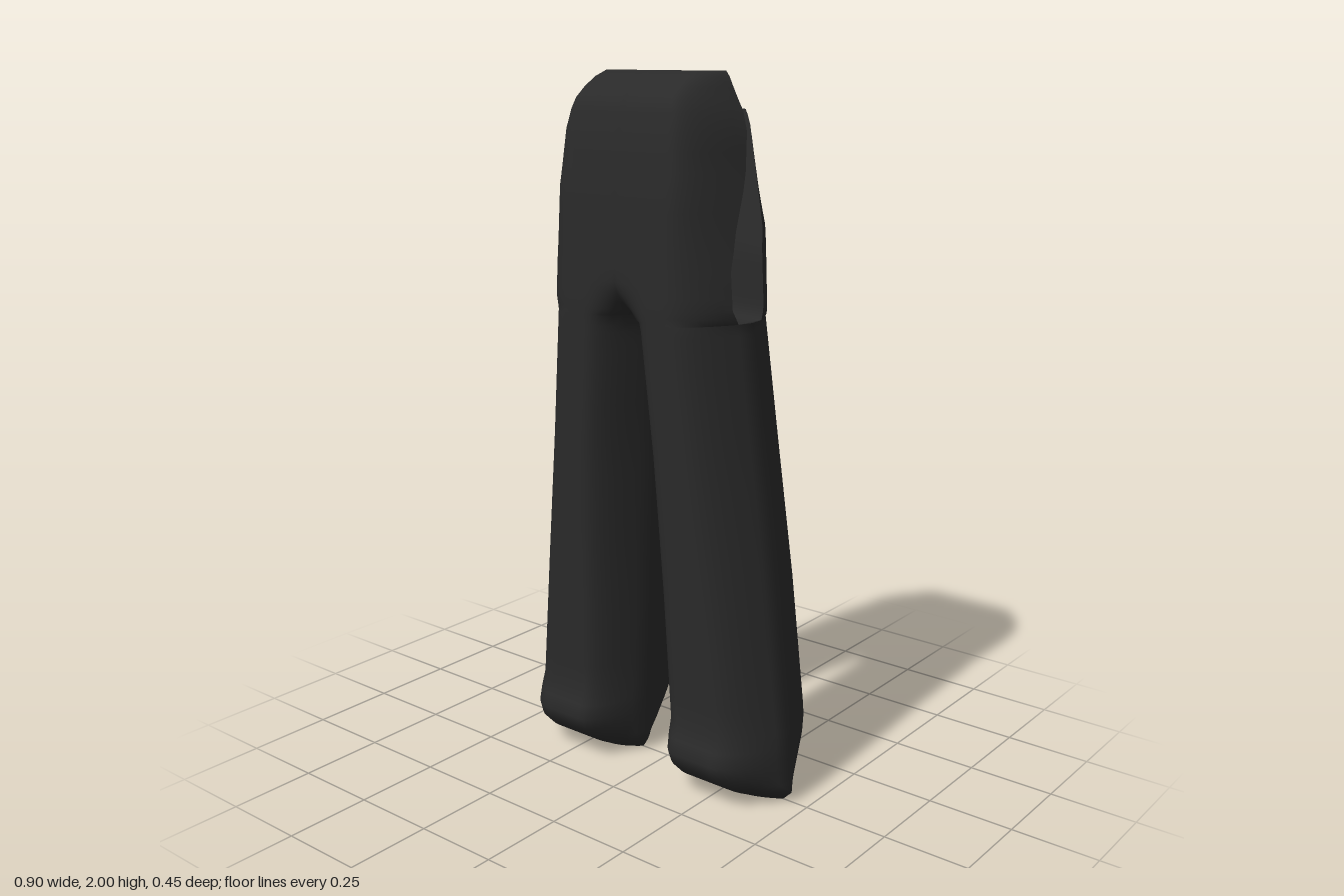
import * as THREE from 'three';
import { mergeGeometries, mergeVertices } from 'three/addons/utils/BufferGeometryUtils.js';

// Piecewise linear lookup in a list of [key, value] pairs
function table(pairs) {
  return (y) => {
    if (y <= pairs[0][0]) return pairs[0][1];
    for (let i = 1; i < pairs.length; i++) {
      const [a, p] = pairs[i - 1], [b, q] = pairs[i];
      if (y <= b) return p + (q - p) * (y - a) / (b - a);
    }
    return pairs[pairs.length - 1][1];
  };
}

// Grid surface through rows of points
function sheet(rows, flip) {
  const n = rows[0].length, index = [];
  for (let r = 0; r < rows.length - 1; r++) {
    for (let c = 0; c < n - 1; c++) {
      const a = r * n + c, b = a + 1, d = a + n, e = d + 1;
      index.push(...(flip ? [a, d, b, b, d, e] : [a, b, d, b, e, d]));
    }
  }
  const g = new THREE.BufferGeometry();
  g.setAttribute('position', new THREE.Float32BufferAttribute(rows.flat(2), 3));
  g.setIndex(index);
  return g;
}

const SLOT = 1.36; // height of the slot floor

// Shared outlines by height
const inner = table([[0, 0.095], [0.03, 0.075], [0.6, 0.05], [1, 0.028], [1.31, 0]]);
const outer = [[0, 0.42], [0.03, 0.45], [0.2, 0.443], [0.6, 0.4], [1, 0.352], [SLOT, 0.315]];
const middle = [[0, 0], [0.15, 0.015], [1, 0.025], [SLOT, 0.035]];

const sides = {
  front: {
    sign: 1, top: 2,
    face: table([[0, 0.05], [0.03, 0.1], [0.06, 0.145], [0.1, 0.185], [0.14, 0.2], [0.18, 0.19],
      [0.22, 0.175], [0.6, 0.19], [1, 0.21], [1.4, 0.226], [1.7, 0.22], [1.85, 0.202],
      [1.93, 0.18], [1.96, 0.15], [1.985, 0.11], [2, 0.07]]),
    edge: table([...outer, [SLOT + 0.001, 0.305], [1.5, 0.295], [1.7, 0.29], [1.85, 0.275],
      [1.9, 0.257], [1.95, 0.228], [1.98, 0.215], [2, 0.2]]),
    rim: table([...middle, [SLOT + 0.001, 0.085], [1.4, 0.108], [1.5, 0.108], [1.55, 0.095],
      [1.6, 0.085], [1.75, 0.035], [1.9, 0.01], [2, 0.008]]),
    bevel: table([[0, 0.14], [1.36, 0.14], [1.85, 0.11], [2, 0.06]]),
  },
  back: {
    sign: -1, top: 1.9,
    face: table([[0, -0.04], [0.03, -0.1], [0.06, -0.15], [0.1, -0.19], [0.14, -0.217], [0.18, -0.226],
      [0.6, -0.22], [1, -0.205], [1.4, -0.188], [1.7, -0.167], [1.83, -0.16], [1.87, -0.145], [1.9, -0.125]]),
    edge: table([...outer, [SLOT + 0.001, 0.31], [1.58, 0.295], [1.7, 0.252], [1.8, 0.215],
      [1.87, 0.19], [1.9, 0.17]]),
    rim: table([...middle, [SLOT + 0.001, -0.01], [1.39, -0.022], [1.55, -0.026], [1.6, -0.04],
      [1.75, -0.08], [1.9, -0.12]]),
    bevel: table([[0, 0.14], [1, 0.15], [1.4, 0.16], [1.7, 0.12], [1.9, 0.05]]),
  },
};

// Heights of the cross-sections, closer together where the shape turns
function heights(top) {
  const list = [0, 0.01, 0.03, 0.06, 0.1, 0.14, 0.18, 0.22];
  for (let y = 0.3; y < 1.25; y += 0.1) list.push(y);
  for (let y = 1.25; y < 1.345; y += 0.02) list.push(y);
  list.push(SLOT);
  return list.concat(slotHeights(top));
}
function slotHeights(top) {
  const list = [SLOT + 0.001, 1.38, 1.4, 1.43, 1.46];
  for (let y = 1.5; y < top - 0.09; y += 0.05) list.push(y);
  return list.concat([top - 0.07, top - 0.04, top - 0.015, top]);
}

// One half cross-section, from the inside of the leg to its outer ridge
function section(s, y, mirror, closed) {
  const xi = inner(y), xo = s.edge(y), rim = s.rim(y), face = s.face(y), out = s.bevel(y);
  const into = Math.min(0.11, (xo - xi) * 0.4);
  const join = THREE.MathUtils.smoothstep(y, 1.3, 1.46); // legs grow together at the crotch
  const xs = [];
  for (let i = 0; i < 7; i++) xs.push(xi + into * i / 7);
  for (let i = 0; i < 4; i++) xs.push(xi + into + (xo - out - xi - into) * i / 4);
  for (let i = 0; i <= 9; i++) xs.push(xo - out + out * i / 9);
  return xs.map((x) => {
    const a = Math.min(1, (x - xi) / into), b = Math.max(0, Math.min(1, (xo - x) / out));
    const g = (1 - (1 - a) ** 2 * (1 - join)) * b * (2 - b);
    return [x * mirror, y, closed ? rim : rim + (face - rim) * g];
  });
}

function shell(s, mirror) {
  const ys = heights(s.top);
  const rows = ys.map((y) => section(s, y, mirror, false));
  rows.unshift(section(s, 0, mirror, true)); // closes the foot
  rows.push(section(s, s.top, mirror, true)); // closes the top
  return sheet(rows, s.sign * mirror < 0);
}

export function createModel() {
  const group = new THREE.Group();
  const charcoal = new THREE.MeshStandardMaterial({ color: 0x2a2a2a });
  charcoal.name = 'charcoal';

  // Legs with the front and back panels above them
  const parts = [];
  for (const s of Object.values(sides)) for (const m of [1, -1]) parts.push(shell(s, m));
  const bodyShape = mergeVertices(mergeGeometries(parts), 1e-4);
  bodyShape.computeVertexNormals();
  const body = new THREE.Mesh(bodyShape, charcoal);
  body.name = 'legsAndPanels';
  group.add(body);

  // Slot wall running down the front panel, across the floor and up the back panel
  const line = (s, y) => [-1, -0.5, 0, 0.5, 1].map((t) => [t * s.edge(y), y, s.rim(y)]);
  const rows = [
    ...slotHeights(2).reverse().map((y) => line(sides.front, y)),
    ...slotHeights(1.9).map((y) => line(sides.back, y)),
  ];
  const slotShape = sheet(rows, true);
  slotShape.computeVertexNormals();
  const slotMaterial = charcoal;
  slotMaterial.side = THREE.DoubleSide;
  const slot = new THREE.Mesh(slotShape, slotMaterial);
  slot.name = 'slotWall';
  group.add(slot);

  return group;
}
